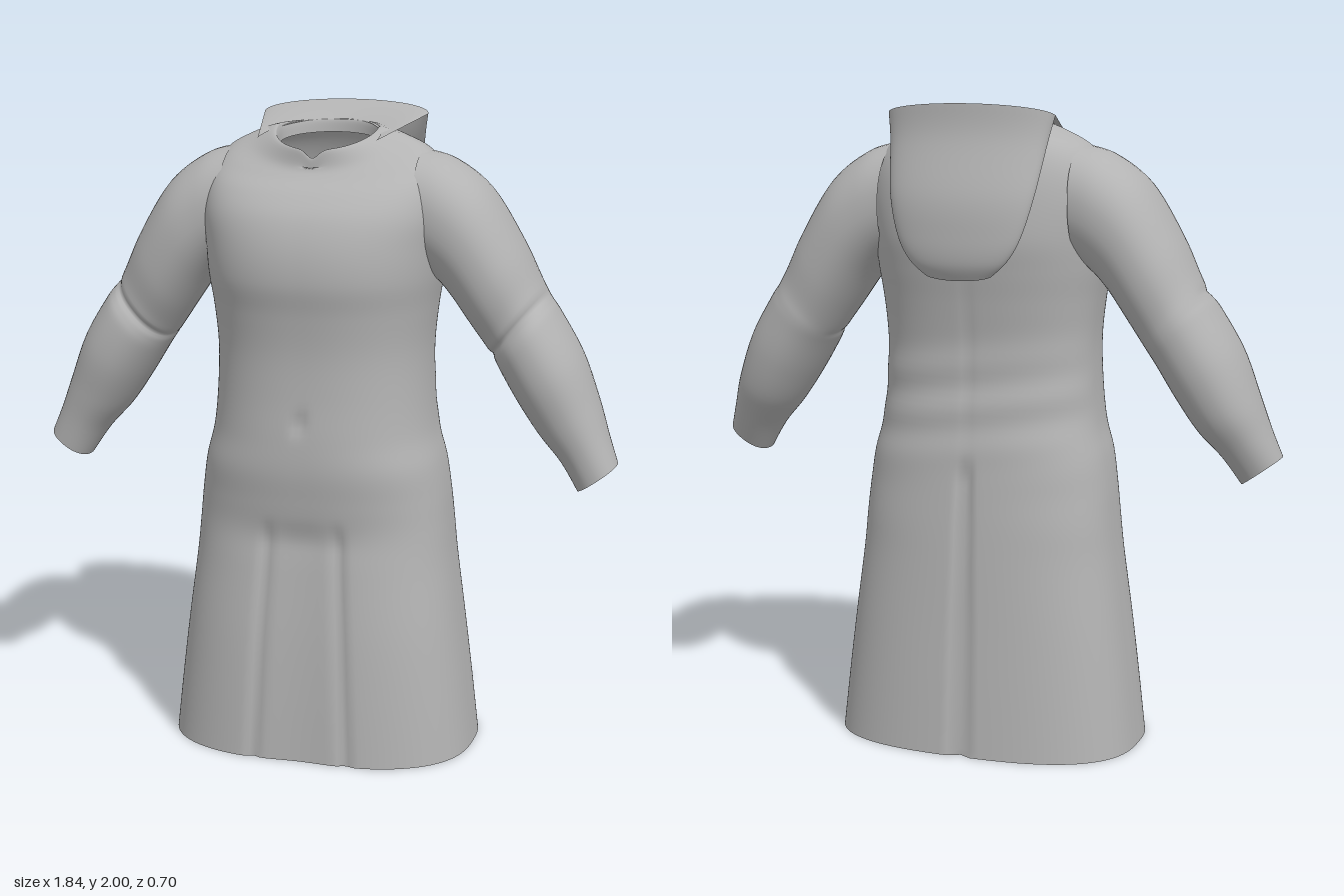
import * as THREE from 'three';

const cloth = new THREE.MeshStandardMaterial({ color: 0xb3b3b3, side: THREE.DoubleSide });
cloth.name = 'grey cloth';

// Smooth value of a table of stations at u in 0..1 (Catmull-Rom per column)
function sample(table, u) {
  const n = table.length - 1;
  const f = u * n;
  const i = Math.min(Math.floor(f), n - 1);
  const t = f - i;
  const row = (k) => table[Math.max(0, Math.min(n, k))];
  return table[i].map((b, c) => {
    const a = row(i - 1)[c], d = row(i + 1)[c], e = row(i + 2)[c];
    return b + 0.5 * t * (d - a + t * (2 * a - 5 * b + 4 * d - e + t * (3 * (b - d) + e - a)));
  });
}

// Skin a grid of points; closed joins the last column to the first
function loft(name, rows, cols, closed, point) {
  const pos = [], index = [];
  const width = closed ? cols : cols + 1;
  for (let i = 0; i <= rows; i++) {
    for (let j = 0; j < width; j++) pos.push(...point(i / rows, j / cols));
  }
  for (let i = 0; i < rows; i++) {
    for (let j = 0; j < cols; j++) {
      const k = (j + 1) % width;
      const a = i * width + j, b = a + width, c = i * width + k, d = c + width;
      index.push(a, b, c, b, d, c);
    }
  }
  const geometry = new THREE.BufferGeometry();
  geometry.setAttribute('position', new THREE.Float32BufferAttribute(pos, 3));
  geometry.setIndex(index);
  geometry.computeVertexNormals();
  const mesh = new THREE.Mesh(geometry, cloth);
  mesh.name = name;
  return mesh;
}

const bump = (d, r) => Math.exp(-(d * d) / (r * r));
const power = (v, p) => Math.sign(v) * Math.abs(v) ** p;

// Half width, front z, back z, front y, side y, back y, squareness
const level = (y, w, zf, zb, n = 2.4) => [w, zf, zb, y, y, y, n];
const bodyRings = [
  level(0, 0.485, 0.35, -0.315, 2.7),
  level(0.2, 0.462, 0.342, -0.303, 2.7),
  level(0.4, 0.437, 0.33, -0.29, 2.7),
  level(0.6, 0.412, 0.312, -0.278, 2.6),
  level(0.72, 0.4, 0.3, -0.27, 2.6),
  level(0.82, 0.39, 0.312, -0.262, 2.5),
  level(0.92, 0.374, 0.325, -0.254, 2.5),
  level(1.02, 0.35, 0.325, -0.242),
  level(1.15, 0.337, 0.318, -0.228),
  level(1.28, 0.334, 0.318, -0.225),
  level(1.4, 0.345, 0.332, -0.24),
  level(1.5, 0.36, 0.35, -0.257),
  level(1.6, 0.37, 0.343, -0.27),
  [0.38, 0.312, -0.26, 1.69, 1.7, 1.72, 2.4],
  [0.365, 0.26, -0.24, 1.755, 1.8, 1.81, 2.4],
  [0.32, 0.205, -0.215, 1.8, 1.87, 1.875, 2.3],
  [0.24, 0.182, -0.185, 1.83, 1.915, 1.915, 2.1],
  [0.17, 0.178, -0.135, 1.88, 1.94, 1.945, 2],
  [0.155, 0.165, -0.122, 1.87, 1.93, 1.945, 2],
  [0.15, 0.155, -0.118, 1.83, 1.89, 1.91, 2],
];

function bodyPoint(u, v) {
  const [w, zf, zb, yf, ys, yb, n] = sample(bodyRings, u);
  const c = Math.cos(v * Math.PI * 2), s = Math.sin(v * Math.PI * 2);
  const x = w * power(c, 2 / n);
  let z = (s > 0 ? zf : -zb) * power(s, 2 / n);
  let y = ys + ((s > 0 ? yf : yb) - ys) * Math.abs(s);
  if (s > 0) {
    // Recessed front panel between two pleats, small navel, throat notch
    const skirt = THREE.MathUtils.smoothstep(0.78 - y, 0, 0.1);
    const pleat = 0.11 + 0.04 * (1 - y / 0.75);
    z -= skirt * (0.012 * bump(Math.abs(x) - pleat, 0.018) + 0.015 * bump(x, 0.13));
    z -= 0.012 * bump(x, 0.02) * bump(y - 1.075, 0.03);
    if (u > 0.85) y -= 0.025 * bump(x, 0.025);
  } else {
    // Seam down the back, deepest at the skirt, and soft waist folds
    const seam = THREE.MathUtils.smoothstep(0.95 - y, 0, 0.1);
    z += bump(x, 0.016) * (0.02 * seam + 0.004 * bump(y - 1.25, 0.3));
    z += 0.004 * Math.sin(y * 45 + x * 6) * bump(y - 1.1, 0.15);
  }
  return [x, y, z];
}

// Upper edge x, y; lower edge x, y; front z, back z
const sleeveRings = [
  [0.3, 1.875, 0.31, 1.52, 0.165, -0.2],
  [0.39, 1.848, 0.355, 1.485, 0.175, -0.21],
  [0.5, 1.765, 0.4, 1.435, 0.18, -0.215],
  [0.6, 1.61, 0.46, 1.35, 0.168, -0.21],
  [0.66, 1.49, 0.505, 1.285, 0.145, -0.2],
  [0.69, 1.435, 0.53, 1.25, 0.148, -0.202],
  [0.72, 1.395, 0.555, 1.21, 0.163, -0.2],
  [0.795, 1.27, 0.61, 1.12, 0.163, -0.19],
  [0.85, 1.13, 0.675, 1.025, 0.14, -0.16],
  [0.885, 1.03, 0.745, 0.945, 0.122, -0.11],
  [0.918, 0.945, 0.8, 0.86, 0.112, -0.062],
];

const sleevePoint = (side) => (u, v) => {
  const [ux, uy, lx, ly, zf, zb] = sample(sleeveRings, u);
  const c = Math.cos(v * Math.PI * 2), s = -side * Math.sin(v * Math.PI * 2);
  // Crease at the front of the elbow
  const crease = 1 - 0.06 * bump(u - 0.47, 0.025) * Math.max(0, s + 0.4);
  const p = 0.9;
  return [
    side * ((ux + lx) / 2 + ((ux - lx) / 2) * power(c, p) * crease),
    (uy + ly) / 2 + ((uy - ly) / 2) * power(c, p) * crease,
    (zf + zb) / 2 + ((zf - zb) / 2) * power(s, p) * crease,
  ];
};

// Half width, centre y, edge y, centre z, edge z
const collarRows = [
  [0.185, 1.95, 1.91, -0.13, 0.13],
  [0.265, 2.0, 1.965, -0.275, -0.19],
];
const flapRows = [
  collarRows[1],
  [0.25, 1.9, 1.885, -0.285, -0.215],
  [0.228, 1.73, 1.73, -0.335, -0.272],
  [0.195, 1.61, 1.61, -0.345, -0.298],
  [0.155, 1.53, 1.54, -0.34, -0.305],
  [0.11, 1.48, 1.5, -0.318, -0.3],
];

const drapePoint = (table) => (u, v) => {
  const [w, yc, ye, zc, ze] = sample(table, u);
  const a = (v - 0.5) * Math.PI;
  const k = Math.cos(a);
  return [w * Math.sin(a), ye + (yc - ye) * k, ze + (zc - ze) * k];
};

export function createModel() {
  const group = new THREE.Group();
  group.name = 'robe';
  group.add(loft('gown', 114, 192, true, bodyPoint));
  group.add(loft('leftSleeve', 60, 48, true, sleevePoint(1)));
  group.add(loft('rightSleeve', 60, 48, true, sleevePoint(-1)));
  group.add(loft('collar', 8, 32, false, drapePoint(collarRows)));
  group.add(loft('backFlap', 30, 32, false, drapePoint(flapRows)));
  return group;
}
